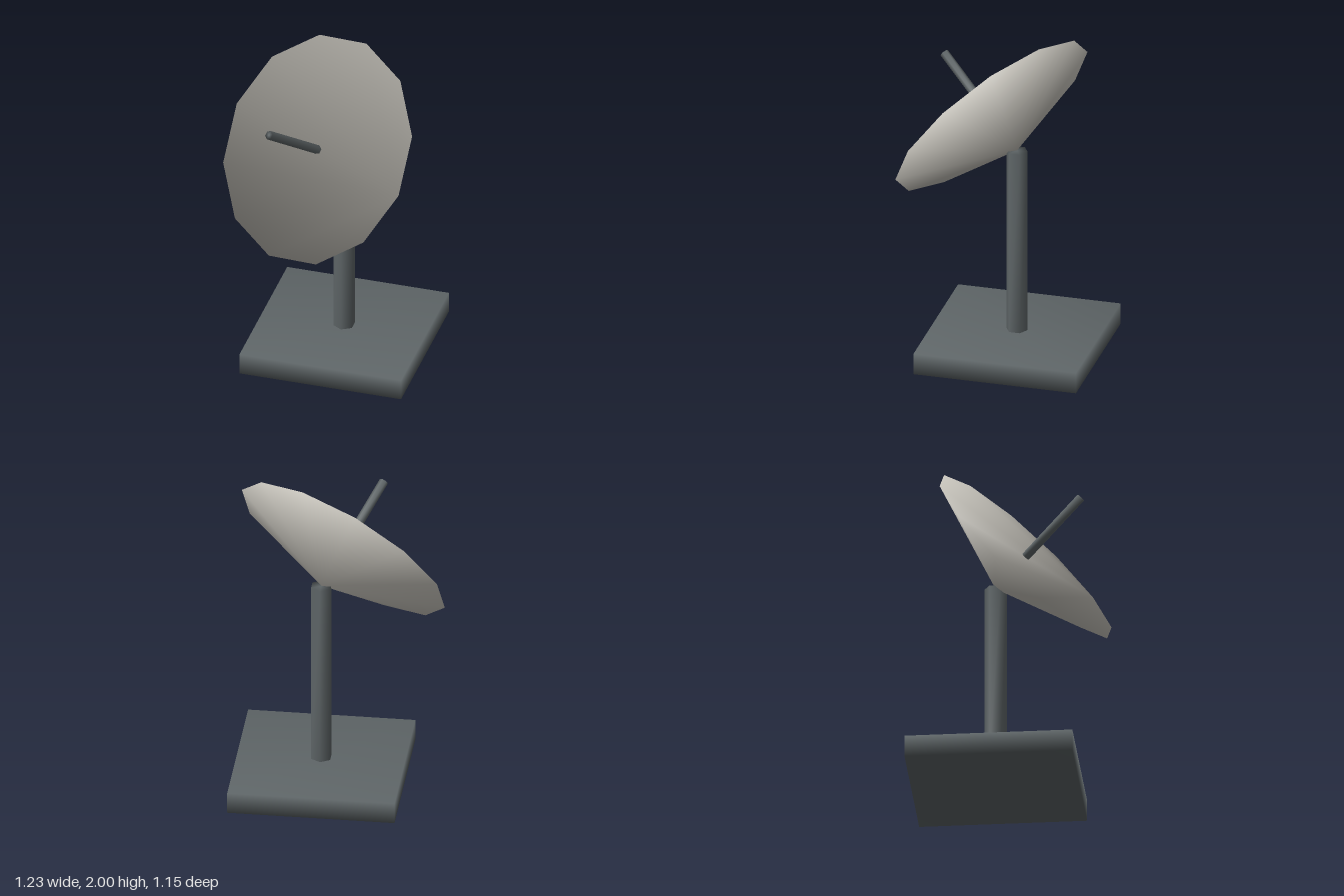
import * as THREE from 'three';
import { mergeVertices } from 'three/addons/utils/BufferGeometryUtils.js';

const darkGrey = new THREE.MeshStandardMaterial({ color: 0x5f6668 });
darkGrey.name = 'dark grey metal';
const paleGrey = new THREE.MeshStandardMaterial({ color: 0xc2bfb7 });
paleGrey.name = 'pale grey dish';

// Share corners so the shading runs smoothly over every edge
function smooth(geometry) {
  geometry.deleteAttribute('normal');
  geometry.deleteAttribute('uv');
  const merged = mergeVertices(geometry);
  merged.computeVertexNormals();
  return merged;
}

function addPart(parent, name, geometry, material, x = 0, y = 0, z = 0) {
  const mesh = new THREE.Mesh(geometry, material);
  mesh.name = name;
  mesh.position.set(x, y, z);
  parent.add(mesh);
  return mesh;
}

// Closed shallow cone: flat face towards +z, apex behind, one shared rim
function dishGeometry(radius, depth, sides) {
  const positions = [], normals = [], index = [];
  const normal = new THREE.Vector3();
  for (let i = 0; i < sides; i++) {
    const a = (i / sides) * Math.PI * 2;
    positions.push(radius * Math.cos(a), radius * Math.sin(a), 0);
    normal.set(Math.cos(a), Math.sin(a), 0.18).normalize();
    normals.push(normal.x, normal.y, normal.z);
    index.push(sides, (i + 1) % sides, i);
    if (i > 0 && i < sides - 1) index.push(0, i, i + 1);
  }
  positions.push(0, 0, -depth);
  normals.push(0, 0, -1);
  const geometry = new THREE.BufferGeometry();
  geometry.setAttribute('position', new THREE.Float32BufferAttribute(positions, 3));
  geometry.setAttribute('normal', new THREE.Float32BufferAttribute(normals, 3));
  geometry.setIndex(index);
  return geometry;
}

export function createModel() {
  const model = new THREE.Group();
  model.name = 'dishAntenna';

  // Square base and six-sided post
  const baseHeight = 0.131, postTop = 1.285, cx = 0.107, cz = -0.082;
  addPart(model, 'base', smooth(new THREE.BoxGeometry(0.986, baseHeight, 0.986)), darkGrey,
    cx, baseHeight / 2, cz);
  const postHeight = postTop - baseHeight;
  addPart(model, 'post', smooth(new THREE.CylinderGeometry(0.065, 0.065, postHeight, 6)), darkGrey,
    cx, baseHeight + postHeight / 2, cz);

  // Tilted head: its apex rests on the post
  const head = new THREE.Group();
  head.name = 'head';
  head.position.set(0, 1.4375, 0.1025);
  head.rotation.set(THREE.MathUtils.degToRad(-35), THREE.MathUtils.degToRad(-30), 0, 'YXZ');
  model.add(head);
  addPart(head, 'dish', dishGeometry(0.687, 0.262, 12), paleGrey);

  // Receiver rod standing on the middle of the dish
  const rodLength = 0.48;
  const rod = addPart(head, 'receiverRod',
    smooth(new THREE.CylinderGeometry(0.027, 0.027, rodLength, 6)), darkGrey, 0, 0, rodLength / 2);
  rod.rotation.x = Math.PI / 2;

  return model;
}
